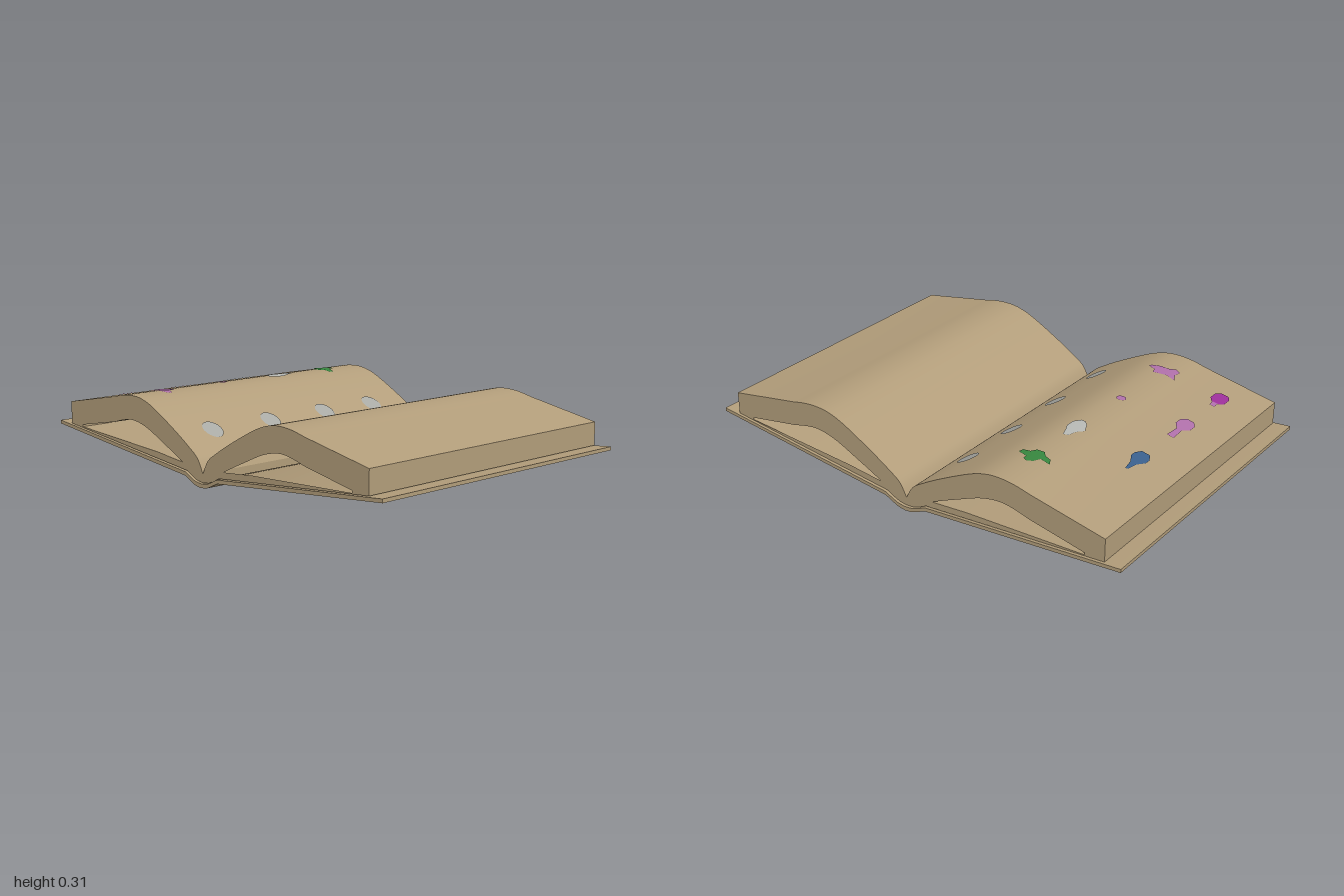
import * as THREE from 'three';
import { toCreasedNormals } from 'three/addons/utils/BufferGeometryUtils.js';

function material(name, color) {
  const m = new THREE.MeshStandardMaterial({ color });
  m.name = name;
  return m;
}

const vec = (pts) => pts.map(([x, y]) => new THREE.Vector2(x, y));
const smooth = (pts, n) => new THREE.SplineCurve(vec(pts)).getPoints(n);

// Upper page curve for one half: gutter, hump, then a straight run to the fore-edge
const pageTop = [
  ...smooth([[0, 0.055], [0.032, 0.112], [0.085, 0.15], [0.175, 0.203], [0.31, 0.273],
    [0.39, 0.302], [0.455, 0.31], [0.525, 0.305], [0.595, 0.29]], 32),
  new THREE.Vector2(0.925, 0.228),
];

function pageHeight(x) {
  const ax = Math.abs(x);
  const i = Math.max(1, pageTop.findIndex((p) => p.x >= ax));
  const a = pageTop[i - 1], b = pageTop[i];
  return a.y + (b.y - a.y) * (ax - a.x) / (b.x - a.x);
}

// Extrude a profile through the depth of the book, centred on z = 0
function extrude(shape, depth) {
  const g = new THREE.ExtrudeGeometry(shape, { depth, bevelEnabled: false });
  g.translate(0, 0, -depth / 2);
  return toCreasedNormals(g, 0.45);
}

export function createModel() {
  const book = new THREE.Group();
  book.name = 'openBook';

  const paper = material('tan paper', 0xb39e7b);
  const grey = material('grey ink', 0xa9aaa5);
  const white = material('pale ink', 0xb8bab6);
  const green = material('green ink', 0x37873f);
  const blue = material('blue ink', 0x3a5f8c);
  const pink = material('pink ink', 0xb070aa);
  const magenta = material('magenta ink', 0x9c2f9a);

  const add = (name, geo, mat) => {
    const mesh = new THREE.Mesh(geo, mat);
    mesh.name = name;
    book.add(mesh);
  };

  // Cover: two thin boards joined by a rounded spine
  const under = smooth([[0, 0.001], [0.035, 0.005], [0.07, 0.02], [0.1, 0.034]], 8);
  under[0].y = 0;
  under.push(new THREE.Vector2(1, 0.121));
  const over = smooth([[0, 0.018], [0.035, 0.022], [0.07, 0.036], [0.1, 0.05]], 8);
  over.push(new THREE.Vector2(1, 0.136));
  const flip = (pts) => pts.map((p) => new THREE.Vector2(-p.x, p.y));
  const coverOutline = [
    ...flip(under).reverse(), ...under.slice(1),
    ...[...over].reverse(), ...flip(over).slice(1),
  ];
  add('cover', extrude(new THREE.Shape(coverOutline), 1.3), paper);

  // Page blocks: arched leaves over a thin lower stack, with a hollow between
  const hollow = [
    ...smooth([[0.13, 0.083], [0.18, 0.107], [0.26, 0.143], [0.365, 0.188],
      [0.455, 0.207], [0.525, 0.2], [0.595, 0.182]], 20),
    ...vec([[0.84, 0.136], [0.84, 0.127], [0.3, 0.099]]),
  ];
  const foot = vec([[0.925, 0.131], [0.1, 0.053], [0.07, 0.038], [0.035, 0.024], [0, 0.02]]);
  for (const side of [1, -1]) {
    const place = (pts) => pts.map((p) => new THREE.Vector2(p.x * side, p.y));
    const shape = new THREE.Shape(place([...pageTop, ...foot]));
    shape.holes.push(new THREE.Path(place(hollow)));
    add(side > 0 ? 'leftPages' : 'rightPages', extrude(shape, 1.28), paper);
  }

  // Painted marks: flat outlines in (x, z) laid onto the curved page
  const mark = (name, pts, mat) => {
    const g = new THREE.ShapeGeometry(new THREE.Shape(pts.map(([x, z]) => new THREE.Vector2(x, -z))));
    g.rotateX(-Math.PI / 2);
    const p = g.attributes.position;
    for (let i = 0; i < p.count; i++) p.setY(i, pageHeight(p.getX(i)) + 0.004);
    g.computeVertexNormals();
    add(name, g, mat);
  };
  const disc = (x, z, rx, rz = rx) => Array.from({ length: 20 }, (_, i) => {
    const a = i / 20 * Math.PI * 2;
    return [x + rx * Math.cos(a), z + rz * Math.sin(a)];
  });

  // Column of grey discs beside the gutter
  [-0.435, -0.15, 0.16, 0.47].forEach((z, i) => mark('greyDisc' + (i + 1), disc(-0.148, z, 0.044), grey));

  mark('greenLeaf', [[-0.545, -0.445], [-0.5, -0.44], [-0.487, -0.47], [-0.465, -0.483], [-0.445, -0.475],
    [-0.443, -0.455], [-0.395, -0.435], [-0.4, -0.415], [-0.435, -0.415], [-0.45, -0.393],
    [-0.485, -0.39], [-0.5, -0.41], [-0.53, -0.418]], green);
  mark('blueDrop', [[-0.757, -0.235], [-0.747, -0.235], [-0.738, -0.185], [-0.718, -0.15], [-0.718, -0.125],
    [-0.733, -0.095], [-0.77, -0.095], [-0.786, -0.125], [-0.786, -0.15], [-0.766, -0.185]], blue);
  mark('paleFlask', [[-0.48, -0.23], [-0.458, -0.235], [-0.447, -0.2], [-0.43, -0.165], [-0.43, -0.125],
    [-0.452, -0.097], [-0.475, -0.1], [-0.493, -0.12], [-0.512, -0.16], [-0.49, -0.19]], white);
  mark('pinkBottle', [[-0.772, 0.078], [-0.74, 0.078], [-0.744, 0.145], [-0.722, 0.175], [-0.722, 0.21],
    [-0.74, 0.235], [-0.772, 0.235], [-0.79, 0.21], [-0.79, 0.175], [-0.767, 0.145]], pink);
  mark('pinkDot', disc(-0.477, 0.152, 0.021, 0.018), pink);
  mark('pinkSplash', [[-0.558, 0.435], [-0.515, 0.443], [-0.455, 0.43], [-0.448, 0.458], [-0.408, 0.475],
    [-0.415, 0.49], [-0.455, 0.497], [-0.49, 0.495], [-0.52, 0.513], [-0.545, 0.502], [-0.54, 0.47]], pink);
  mark('magentaJar', [[-0.775, 0.43], [-0.74, 0.43], [-0.724, 0.45], [-0.724, 0.49], [-0.74, 0.512],
    [-0.775, 0.512], [-0.79, 0.49], [-0.79, 0.45]], magenta);
  mark('jarStopper', [[-0.77, 0.4], [-0.748, 0.4], [-0.744, 0.43], [-0.77, 0.43]], pink);

  return book;
}
